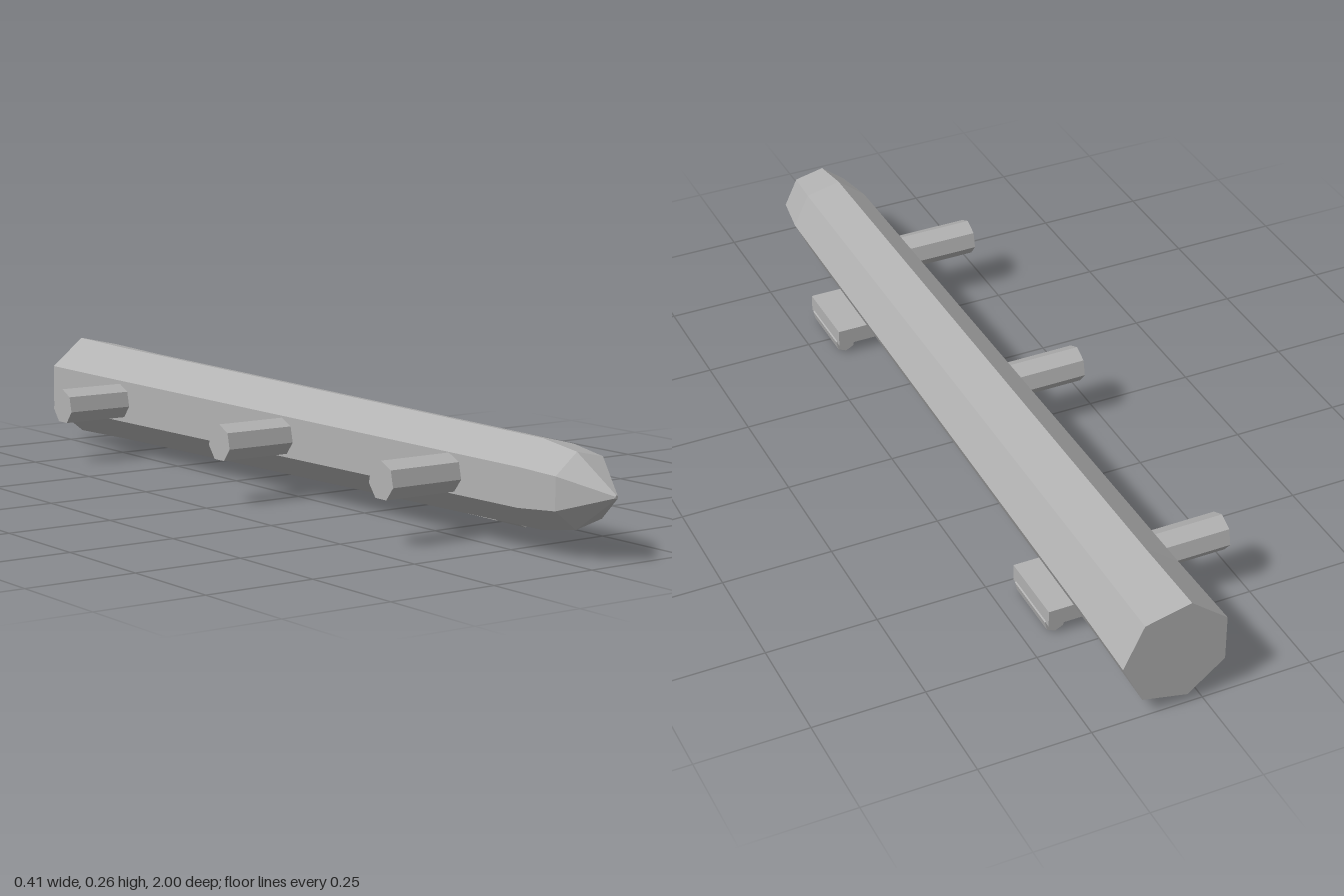
import * as THREE from 'three';

const SIDES = 7;
const AXIS = { x: 0.062, y: 0.142 };

export function createModel() {
  const model = new THREE.Group();
  model.name = 'model';
  const grey = new THREE.MeshStandardMaterial({ color: 0xb2b2b2, flatShading: true });
  grey.name = 'grey';

  const add = (name, geometry, x, y, z) => {
    const mesh = new THREE.Mesh(geometry, grey);
    mesh.name = name;
    mesh.position.set(x, y, z);
    model.add(mesh);
  };

  // Tapered seven-sided body with a pointed nose, running along z
  const profile = [
    [0, -1], [0.122, -1], [0.117, -0.8], [0.097, 0.8], [0.082, 0.9], [0.004, 1], [0, 1],
  ].map(([r, z]) => new THREE.Vector2(r, z));
  const body = new THREE.LatheGeometry(profile, SIDES);
  body.rotateX(Math.PI / 2).rotateZ(Math.PI / 2);
  add('body', body, AXIS.x, AXIS.y, 0);

  // Three pegs sticking out of the right side
  const peg = new THREE.CylinderGeometry(0.0422, 0.0422, 0.205, SIDES);
  peg.rotateZ(Math.PI / 2).rotateX(-Math.PI / 2);
  for (const z of [-0.693, -0.015, 0.579]) add('peg', peg, -0.1025, AXIS.y, z);

  // Two brackets under the left side, each with a small rail below
  const bracket = new THREE.BoxGeometry(0.112, 0.039, 0.17);
  const rail = new THREE.CylinderGeometry(0.024, 0.024, 0.145, SIDES);
  rail.rotateX(Math.PI / 2);
  for (const z of [-0.617, 0.512]) {
    add('bracket', bracket, 0.144, 0.0495, z);
    add('rail', rail, 0.179, 0.0265, z);
  }
  return model;
}
